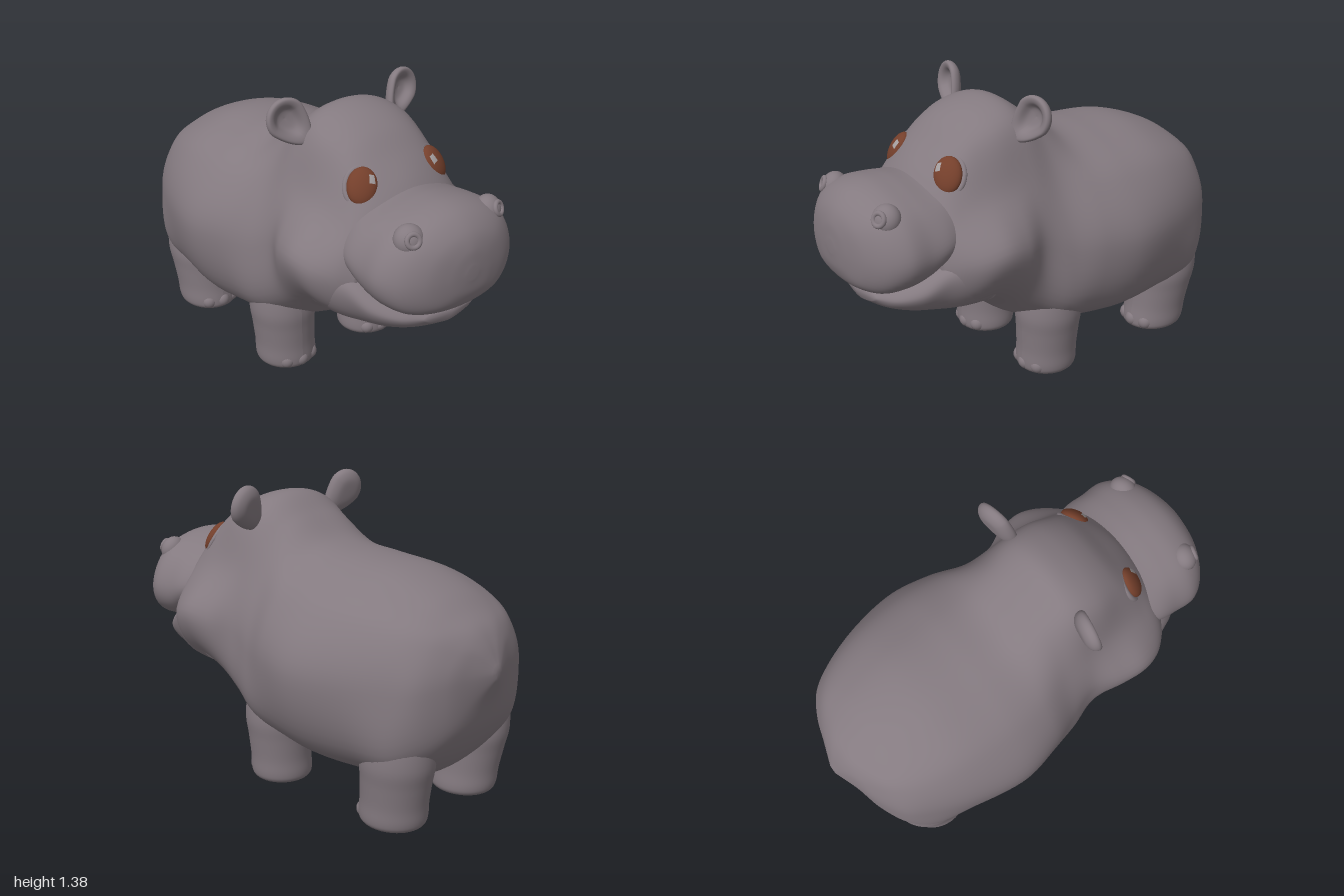
import * as THREE from 'three';

const hide = new THREE.MeshStandardMaterial({ color: 0x847a80 });
hide.name = 'grey hide';
const iris = new THREE.MeshStandardMaterial({ color: 0x743f2b });
iris.name = 'brown eye';
const glint = new THREE.MeshStandardMaterial({ color: 0xa49e9f });
glint.name = 'eye glint';

// Smooth closed skin through symmetric cross-sections.
// Row: z, top y, then x y pairs down the flank, then bottom y.
function loft(rows, along, around, endBulge) {
  const strand = (f) => new THREE.CatmullRomCurve3(rows.map(f));
  const flank = (s, k) => strand((r) => new THREE.Vector3(s * r[k], r[k + 1], r[0]));
  const columns = [];
  for (let k = 2; k < rows[0].length - 1; k += 2) columns.push(k);
  const strands = [
    strand((r) => new THREE.Vector3(0, r[1], r[0])),
    ...columns.map((k) => flank(1, k)),
    strand((r) => new THREE.Vector3(0, r[r.length - 1], r[0])),
    ...columns.map((k) => flank(-1, k)).reverse(),
  ];
  const pos = [], index = [], centres = [];
  for (let i = 0; i <= along; i++) {
    const ring = new THREE.CatmullRomCurve3(strands.map((c) => c.getPoint(i / along)), true, 'catmullrom', 0.5);
    const mid = new THREE.Vector3();
    for (let j = 0; j < around; j++) {
      const p = ring.getPoint(j / around);
      pos.push(p.x, p.y, p.z);
      mid.addScaledVector(p, 1 / around);
    }
    if (i === 0 || i === along) centres.push(mid);
  }
  for (let i = 0; i < along; i++) {
    for (let j = 0; j < around; j++) {
      const k = (j + 1) % around;
      const a = i * around + j, b = i * around + k;
      index.push(a, a + around, b, b, a + around, b + around);
    }
  }
  // End caps
  const back = pos.length / 3, front = back + 1, last = along * around;
  pos.push(centres[0].x, centres[0].y, centres[0].z);
  pos.push(centres[1].x, centres[1].y, centres[1].z + endBulge);
  for (let j = 0; j < around; j++) {
    const k = (j + 1) % around;
    index.push(back, j, k, front, last + k, last + j);
  }
  const g = new THREE.BufferGeometry();
  g.setAttribute('position', new THREE.Float32BufferAttribute(pos, 3));
  g.setIndex(index);
  g.computeVertexNormals();
  return g;
}

// Move every vertex by a rule
function warp(g, rule) {
  const p = g.attributes.position, v = new THREE.Vector3();
  for (let i = 0; i < p.count; i++) {
    rule(v.fromBufferAttribute(p, i));
    p.setXYZ(i, v.x, v.y, v.z);
  }
  g.computeVertexNormals();
  return g;
}

// Revolve a smoothed profile
function turned(points, steps, sides) {
  const curve = new THREE.SplineCurve(points.map(([r, y]) => new THREE.Vector2(r, y)));
  const pts = curve.getPoints(steps);
  pts.forEach((p) => { p.x = Math.max(p.x, 0); });
  return new THREE.LatheGeometry(pts, sides);
}

function add(parent, name, geometry, material, x = 0, y = 0, z = 0) {
  const m = new THREE.Mesh(geometry, material);
  m.name = name;
  m.position.set(x, y, z);
  parent.add(m);
  return m;
}

// Tail nub, rump, belly and shoulders
const torso = [
  [-1.0, 0.73, 0.008, 0.728, 0.016, 0.72, 0.02, 0.705, 0.012, 0.685, 0.68],
  [-0.96, 0.83, 0.05, 0.825, 0.10, 0.79, 0.13, 0.70, 0.09, 0.60, 0.57],
  [-0.92, 0.89, 0.10, 0.875, 0.19, 0.81, 0.25, 0.68, 0.21, 0.47, 0.43],
  [-0.85, 0.945, 0.16, 0.92, 0.28, 0.85, 0.365, 0.66, 0.32, 0.38, 0.30],
  [-0.75, 1.01, 0.18, 0.98, 0.345, 0.88, 0.43, 0.65, 0.385, 0.32, 0.20],
  [-0.55, 1.08, 0.20, 1.045, 0.40, 0.92, 0.505, 0.65, 0.40, 0.30, 0.14],
  [-0.3, 1.105, 0.21, 1.065, 0.42, 0.93, 0.55, 0.65, 0.42, 0.29, 0.135],
  [-0.1, 1.13, 0.20, 1.09, 0.40, 0.93, 0.51, 0.66, 0.41, 0.31, 0.155],
  [0.05, 1.23, 0.20, 1.18, 0.355, 0.95, 0.455, 0.66, 0.405, 0.34, 0.19],
];

// Domed cranium over round cheeks
const head = [
  [0.18, 1.315, 0.22, 1.245, 0.34, 1.0, 0.425, 0.72, 0.37, 0.40, 0.25],
  [0.3, 1.305, 0.23, 1.235, 0.34, 0.99, 0.475, 0.74, 0.35, 0.47, 0.34],
  [0.42, 1.25, 0.21, 1.19, 0.335, 0.97, 0.495, 0.76, 0.35, 0.52, 0.40],
  [0.52, 1.16, 0.20, 1.11, 0.325, 0.94, 0.47, 0.74, 0.34, 0.52, 0.41],
  [0.6, 1.08, 0.18, 1.03, 0.31, 0.90, 0.41, 0.72, 0.30, 0.52, 0.42],
  [0.66, 1.0, 0.15, 0.96, 0.26, 0.86, 0.33, 0.70, 0.25, 0.55, 0.45],
];

export function createModel() {
  const model = new THREE.Group();
  model.name = 'hippo';

  add(model, 'bodyAndHead', loft([...torso, ...head], 100, 80, 0.03), hide);

  // Broad upper snout
  add(model, 'muzzle', loft([
    [0.48, 1.05, 0.18, 1.0, 0.30, 0.85, 0.20, 0.76, 0.74],
    [0.62, 1.045, 0.25, 0.975, 0.36, 0.83, 0.28, 0.73, 0.68],
    [0.72, 1.055, 0.26, 0.98, 0.365, 0.81, 0.29, 0.68, 0.63],
    [0.82, 1.055, 0.26, 0.98, 0.368, 0.80, 0.28, 0.655, 0.607],
    [0.90, 1.03, 0.23, 0.96, 0.32, 0.79, 0.25, 0.65, 0.605],
    [0.96, 0.975, 0.165, 0.92, 0.23, 0.79, 0.18, 0.67, 0.635],
    [0.99, 0.91, 0.085, 0.87, 0.12, 0.79, 0.09, 0.715, 0.695],
    [1.0, 0.83, 0.02, 0.82, 0.03, 0.80, 0.02, 0.78, 0.77],
  ], 56, 64, 0), hide);

  // Smiling lower jaw, its lip rising towards the cheeks
  add(model, 'lowerJaw', loft([
    [0.42, 0.75, 0.32, 0.76, 0.43, 0.67, 0.33, 0.50, 0.405],
    [0.55, 0.74, 0.33, 0.765, 0.42, 0.67, 0.32, 0.505, 0.415],
    [0.65, 0.68, 0.305, 0.725, 0.375, 0.655, 0.285, 0.51, 0.43],
    [0.75, 0.63, 0.25, 0.66, 0.325, 0.61, 0.24, 0.515, 0.46],
    [0.83, 0.595, 0.17, 0.61, 0.24, 0.58, 0.175, 0.525, 0.49],
    [0.88, 0.575, 0.09, 0.58, 0.13, 0.565, 0.09, 0.54, 0.52],
  ], 40, 56, 0.015), hide);

  for (const s of [1, -1]) {
    const sideName = s > 0 ? 'left' : 'right';

    // Legs lean outwards and close inside the body; hind legs also lean back
    for (const [name, z, depth, lean] of [['FrontLeg', 0.04, 1, 0], ['HindLeg', -0.655, 1.1, -0.12]]) {
      const leg = new THREE.Group();
      leg.name = sideName + name;
      leg.position.set(s * 0.248, 0, z);
      model.add(leg);
      const g = turned([[0, 0], [0.07, 0], [0.115, 0.002], [0.137, 0.018], [0.144, 0.05], [0.143, 0.12],
        [0.149, 0.22], [0.155, 0.32], [0.13, 0.45], [0.07, 0.54], [0, 0.56]], 50, 40);
      add(leg, 'leg', warp(g, (v) => {
        v.x += s * 0.06 * v.y;
        v.z = v.z * depth + lean * v.y;
      }), hide);
      // Three blunt toes
      for (const a of [-0.6, 0, 0.6]) {
        const toe = new THREE.SphereGeometry(0.04, 20, 14);
        add(leg, 'toe', toe, hide, Math.sin(a) * 0.113, 0.046, Math.cos(a) * 0.113 * depth);
      }
    }

    // Cupped ear, narrowing to its root
    const ear = turned([[0, -0.035], [0.05, -0.032], [0.083, -0.014], [0.094, 0.01], [0.085, 0.026],
      [0.062, 0.02], [0.036, -0.006], [0, -0.014]], 36, 40);
    ear.rotateX(Math.PI / 2);
    warp(ear, (v) => {
      if (v.y < 0) {
        v.x *= 1 + 3 * v.y;
        v.y *= 1.6;
      }
    });
    ear.rotateZ(-s * 0.7);
    ear.rotateX(-0.15);
    ear.rotateY(s * 0.2);
    add(model, sideName + 'Ear', ear, hide, s * 0.323, 1.287, 0.17);

    // Eye in a low lid, with a glint on the inner upper side
    const eye = new THREE.Group();
    eye.name = sideName + 'Eye';
    eye.position.set(s * 0.2, 1.07, 0.53);
    eye.rotation.set(-0.52, s * 0.48, s * 0.2, 'YXZ');
    model.add(eye);
    add(eye, 'eyeball', new THREE.SphereGeometry(1, 36, 24), iris, 0, 0, 0.006).scale.set(0.066, 0.082, 0.035);
    const phi = s > 0 ? 0.975 : Math.PI - 0.975;
    const spot = new THREE.SphereGeometry(1.025, 8, 8, phi - 0.25, 0.5, 0.94, 0.48);
    add(eye, 'glint', spot, glint, 0, 0, 0.006).scale.set(0.066, 0.082, 0.035);
    const lid = new THREE.TorusGeometry(0.07, 0.012, 14, 40);
    lid.scale(1, 1.2, 1);
    lid.computeVertexNormals();
    add(eye, 'eyelid', lid, hide, 0, 0, -0.008);

    // Low nostril mound with a rim
    const nostril = new THREE.Group();
    nostril.name = sideName + 'Nostril';
    nostril.position.set(s * 0.222, 0.962, 0.85);
    nostril.rotation.set(-0.35, s * 0.35, 0, 'YXZ');
    model.add(nostril);
    add(nostril, 'mound', new THREE.SphereGeometry(0.066, 28, 20), hide).scale.set(1, 1, 0.85);
    add(nostril, 'rim', new THREE.TorusGeometry(0.027, 0.011, 14, 32), hide, 0, 0, 0.05);
  }

  return model;
}
